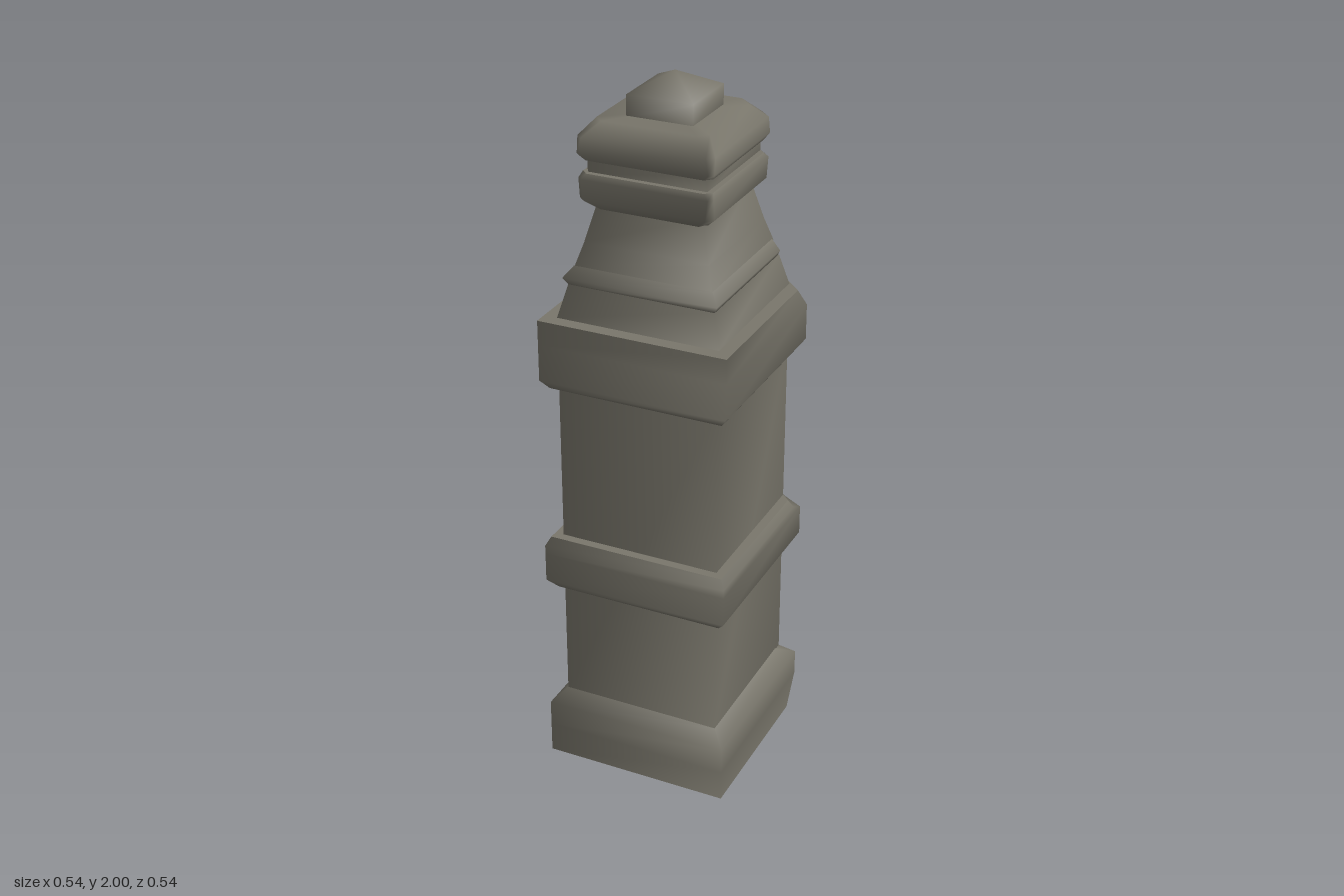
import * as THREE from 'three';
import { mergeVertices } from 'three/addons/utils/BufferGeometryUtils.js';

const stone = new THREE.MeshStandardMaterial({ color: 0x79766b });
stone.name = 'weathered stone';

// Corner order: front left, back left, back right, front right
const CORNERS = [[1, 1], [1, -1], [-1, -1], [-1, 1]];
const BACK = [0, 1, 1, 0];
const CAP = [0.6, 1, 0.3, 0.6];

// Square ring whose corners are cut by chamfer * weight
function ring(r, y, chamfer, weights) {
  const points = [];
  CORNERS.forEach(([sx, sz], i) => {
    const c = chamfer * weights[i];
    const alongX = [sx * (r - c), y, sz * r];
    const alongZ = [sx * r, y, sz * (r - c)];
    points.push(...(sx === sz ? [alongX, alongZ] : [alongZ, alongX]));
  });
  return points;
}

// Smooth skin through square rings given as [half width, height, chamfer]
function loft(profile, weights = BACK) {
  const positions = [];
  const triangle = (a, b, c) => {
    const same = (p, q) => Math.hypot(p[0] - q[0], p[1] - q[1], p[2] - q[2]) < 1e-5;
    if (!same(a, b) && !same(b, c) && !same(c, a)) positions.push(...a, ...b, ...c);
  };
  const rings = profile.map(([r, y, c = 0]) => ring(r, y, c, weights));
  for (let k = 0; k < rings.length - 1; k++) {
    for (let i = 0; i < 8; i++) {
      const j = (i + 1) % 8;
      triangle(rings[k][i], rings[k][j], rings[k + 1][j]);
      triangle(rings[k][i], rings[k + 1][j], rings[k + 1][i]);
    }
  }
  const geometry = new THREE.BufferGeometry();
  geometry.setAttribute('position', new THREE.Float32BufferAttribute(positions, 3));
  const merged = mergeVertices(geometry, 1e-5);
  merged.computeVertexNormals();
  return merged;
}

export function createModel() {
  const model = new THREE.Group();
  model.name = 'stonePillar';
  const add = (name, profile, weights) => {
    const mesh = new THREE.Mesh(loft(profile, weights), stone);
    mesh.name = name;
    model.add(mesh);
  };

  // Plinth and its flat underside
  add('plinth', [[0.268, 0, 0.055], [0.268, 0.09], [0.268, 0.165], [0.23, 0.205, 0.03]]);
  add('plinthUnderside', [[0, 0], [0.268, 0, 0.055]]);

  // Square shaft with a middle band and a top band
  add('shaft', [[0.23, 0.2], [0.23, 1.2]]);
  add('middleBand', [
    [0.22, 0.55], [0.243, 0.55, 0.02], [0.268, 0.58], [0.268, 0.665],
    [0.268, 0.69, 0.05], [0.255, 0.715, 0.05],
  ]);
  add('middleBandTop', [[0.255, 0.715, 0.05], [0.22, 0.715]]);
  add('topBand', [
    [0.22, 1.17], [0.248, 1.17, 0.03], [0.268, 1.197], [0.268, 1.3], [0.268, 1.37, 0.07],
  ]);
  add('topBandLedge', [[0.268, 1.37, 0.07], [0, 1.37]]);

  // Tapered upper section with a thin moulding
  add('taperFoot', [[0.23, 1.37], [0.207, 1.46]]);
  add('moulding', [
    [0.2, 1.46], [0.207, 1.46, 0.01], [0.218, 1.48, 0.03], [0.195, 1.51, 0.01],
  ]);
  add('taper', [[0.195, 1.505], [0.175, 1.57], [0.147, 1.68]]);

  // Two rounded caps separated by a narrow neck
  add('lowerCap', [
    [0.14, 1.66], [0.155, 1.66, 0.03], [0.187, 1.69, 0.03], [0.187, 1.745, 0.02],
    [0.18, 1.76, 0.03],
  ], CAP);
  add('lowerCapTop', [[0.18, 1.76, 0.03], [0, 1.76]], CAP);
  add('neck', [[0.165, 1.755], [0.165, 1.8]]);
  add('upperCapUnderside', [[0, 1.795], [0.18, 1.795, 0.03]], CAP);
  add('upperCap', [
    [0.18, 1.795, 0.03], [0.189, 1.81, 0.02], [0.189, 1.855, 0.03], [0.155, 1.895, 0.04],
    [0, 1.895],
  ], CAP);

  // Small pyramid finial
  add('finial', [[0.092, 1.89], [0.092, 1.95], [0, 2]]);

  return model;
}
